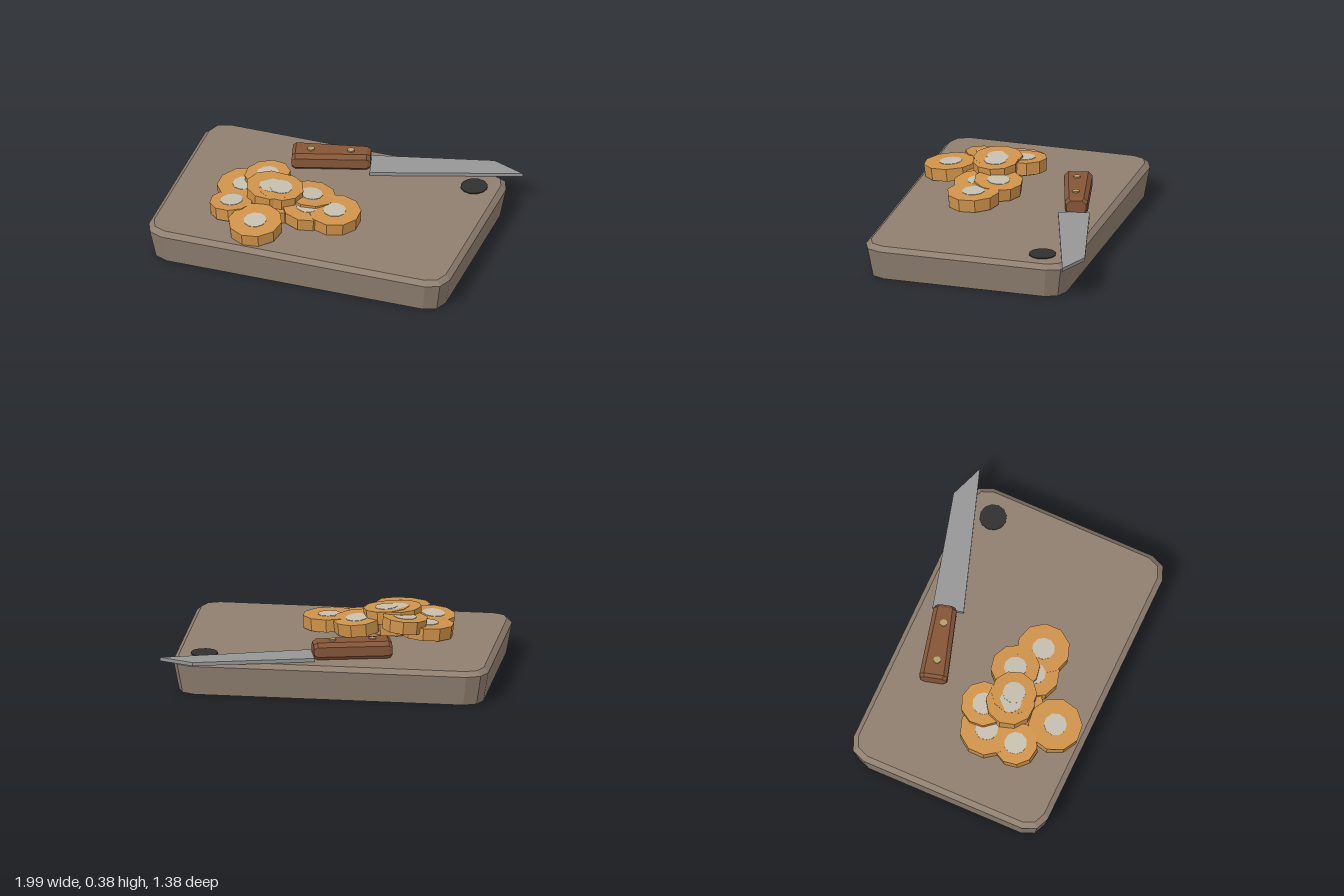
import * as THREE from 'three';
import { ConvexGeometry } from 'three/addons/geometries/ConvexGeometry.js';

const paint = (color) => new THREE.MeshStandardMaterial({ color, flatShading: true });
const wood = paint(0x8f7f70), dark = paint(0x303030), steel = paint(0x969696);
const grip = paint(0x855638), brass = paint(0xb5a06a), rind = paint(0xcf934a), pith = paint(0xc4bfb0);

function add(parent, name, geometry, material, x = 0, y = 0, z = 0) {
  const mesh = new THREE.Mesh(geometry, material);
  mesh.name = name;
  mesh.position.set(x, y, z);
  parent.add(mesh);
  return mesh;
}

// Rectangle ring with two-segment rounded corners at height y
function roundedRing(hx, hz, r, y) {
  const points = [];
  for (let corner = 0; corner < 4; corner++) {
    const sx = corner === 0 || corner === 3 ? 1 : -1;
    const sz = corner < 2 ? 1 : -1;
    for (let i = 0; i < 3; i++) {
      const a = (corner * 2 + i) * Math.PI / 4;
      points.push(new THREE.Vector3(sx * (hx - r) + r * Math.cos(a), y, sz * (hz - r) + r * Math.sin(a)));
    }
  }
  return points;
}

function makeBoard() {
  const board = new THREE.Group();
  board.name = 'board';
  const block = new ConvexGeometry([
    ...roundedRing(0.93, 0.615, 0.11, 0),
    ...roundedRing(0.9625, 0.645, 0.12, 0.185),
    ...roundedRing(0.9325, 0.615, 0.1, 0.213),
  ]);
  add(board, 'boardBlock', block, wood, -0.0375, 0, 0.04);
  add(board, 'hangingHole', new THREE.CylinderGeometry(0.083, 0.083, 0.012, 12), dark, 0.745, 0.213, -0.412);
  return board;
}

// The knife lies along its own x axis and is then turned on the board
function makeKnife() {
  const knife = new THREE.Group();
  knife.name = 'knife';

  const outline = new THREE.Shape([[0.187, 0.472], [0.932, 0.465], [1.114, 0.333], [0.187, 0.281]]
    .map(([x, y]) => new THREE.Vector2(x, y)));
  const bladeGeometry = new THREE.ExtrudeGeometry(outline, { depth: 0.022, bevelEnabled: false });
  bladeGeometry.rotateX(-Math.PI / 2);
  add(knife, 'blade', bladeGeometry, steel, 0, 0.214, 0);

  // Chamfered handle: [x, half width, bottom, top]
  const points = [];
  for (const [x, w, y0, y1] of [[-0.288, 0.079, 0.225, 0.308], [-0.268, 0.086, 0.214, 0.322],
    [0.165, 0.07, 0.214, 0.322], [0.188, 0.06, 0.225, 0.308]]) {
    for (const s of [-1, 1]) {
      points.push(new THREE.Vector3(x, y0, s * (w - 0.025)), new THREE.Vector3(x, y0 + 0.024, s * w),
        new THREE.Vector3(x, y1 - 0.024, s * w), new THREE.Vector3(x, y1, s * (w - 0.025)));
    }
  }
  add(knife, 'handle', new ConvexGeometry(points), grip, 0, 0, -0.391);

  for (const x of [-0.175, 0.067]) {
    add(knife, 'rivet', new THREE.CylinderGeometry(0.022, 0.022, 0.03, 10), brass, x, 0.315, -0.385);
  }
  knife.rotation.y = Math.PI / 12;
  return knife;
}

function makeSlice([x, y, z, r, tiltX, tiltZ], i) {
  const slice = new THREE.Group();
  slice.name = 'slice' + (i + 1);
  add(slice, 'sliceRing', new THREE.CylinderGeometry(r, r * 0.98, 0.078, 10), rind);
  add(slice, 'sliceCore', new THREE.CylinderGeometry(0.07, 0.07, 0.083, 10), pith);
  for (const part of slice.children) part.rotation.y = i * 0.7;
  slice.position.set(x, y, z);
  slice.rotation.set(tiltX, 0, tiltZ);
  return slice;
}

export function createModel() {
  const model = new THREE.Group();
  model.name = 'cuttingBoardScene';
  model.add(makeBoard(), makeKnife());

  // Heap of slices: x, y, z, radius, tilt about x, tilt about z
  const heap = new THREE.Group();
  heap.name = 'slices';
  [
    [-0.54, 0.262, 0.125, 0.165, 0.04, 0.06],
    [-0.415, 0.315, 0.05, 0.14, 0.03, 0.08],
    [-0.55, 0.262, 0.325, 0.135, -0.05, 0.1],
    [-0.33, 0.256, 0.225, 0.17, 0.03, 0],
    [-0.35, 0.332, 0.195, 0.15, 0.02, -0.05],
    [-0.285, 0.33, 0.19, 0.14, 0.03, -0.06],
    [-0.345, 0.266, 0.49, 0.165, 0.1, 0.03],
    [-0.115, 0.275, 0.125, 0.15, -0.06, -0.07],
    [-0.1, 0.265, 0.24, 0.155, 0.05, -0.06],
    [0.07, 0.26, 0.225, 0.162, 0.04, -0.03],
  ].forEach((spec, i) => heap.add(makeSlice(spec, i)));
  model.add(heap);
  return model;
}
